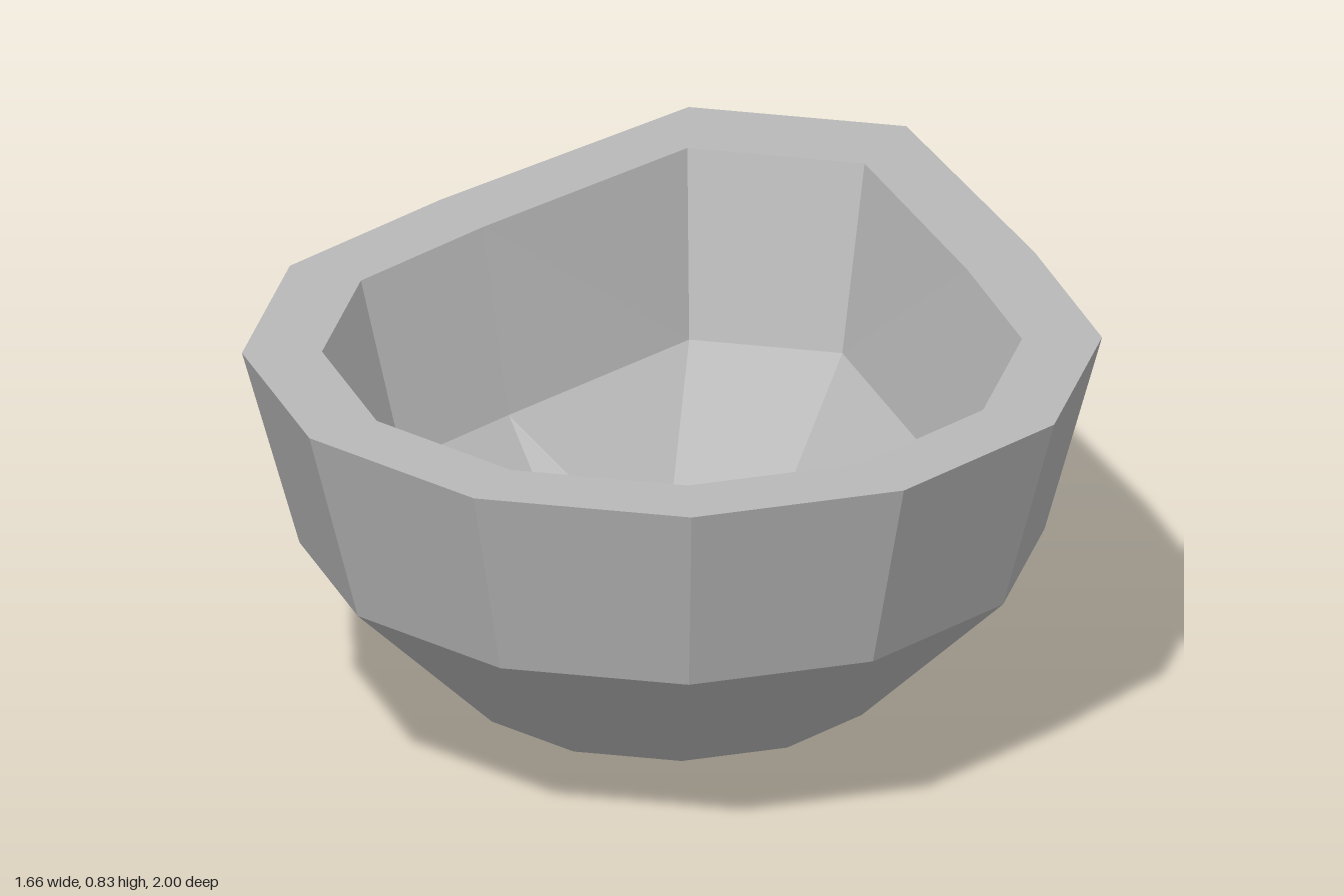
import * as THREE from 'three';

const SIDES = 12;
const CENTRE_Z = 0.167;

// Twelve-sided ring; its two rear corners can be pulled back to form the spout
function ring(radius, y, spoutZ) {
  return Array.from({ length: SIDES }, (_, i) => {
    const a = ((i + 0.5) / SIDES) * Math.PI * 2;
    const rear = i === 5 || i === 6;
    const z = rear && spoutZ !== undefined ? spoutZ : CENTRE_Z + radius * Math.cos(a);
    return [radius * Math.sin(a), y, z];
  });
}

// Flat-faced skin joining consecutive rings
function skin(name, rings, material) {
  const pos = [];
  for (let k = 0; k < rings.length - 1; k++) {
    for (let i = 0; i < SIDES; i++) {
      const j = (i + 1) % SIDES;
      const [a0, a1, b0, b1] = [rings[k][i], rings[k][j], rings[k + 1][i], rings[k + 1][j]];
      // mirror the diagonals so both halves match
      const tris = i < 6 ? [a0, a1, b1, a0, b1, b0] : [a0, a1, b0, a1, b1, b0];
      for (let t = 0; t < 6; t += 3) {
        const [p, q, r] = tris.slice(t, t + 3);
        const same = (u, v) => Math.hypot(u[0] - v[0], u[1] - v[1], u[2] - v[2]) < 1e-6;
        if (!same(p, q) && !same(q, r) && !same(r, p)) pos.push(...p, ...q, ...r);
      }
    }
  }
  const geometry = new THREE.BufferGeometry();
  geometry.setAttribute('position', new THREE.Float32BufferAttribute(pos, 3));
  geometry.computeVertexNormals();
  const mesh = new THREE.Mesh(geometry, material);
  mesh.name = name;
  return mesh;
}

export function createModel() {
  const stone = new THREE.MeshStandardMaterial({ color: 0xb8b8b8 });
  stone.name = 'stone grey';

  const outerRim = ring(0.86, 0.83, -1);
  const innerRim = ring(0.7, 0.83, -0.8);

  const bowl = new THREE.Group();
  bowl.name = 'spoutedBowl';
  bowl.add(
    // outside, from the pointed base up to the rim
    skin('outerShell', [ring(0, 0), ring(0.427, 0.11), ring(0.745, 0.415, -0.89), outerRim], stone),
    // flat top edge
    skin('rim', [outerRim, innerRim], stone),
    // hollow, from the rim down to the floor
    skin('innerShell', [innerRim, ring(0.605, 0.455, -0.705), ring(0.35, 0.185), ring(0, 0.09)], stone)
  );
  return bowl;
}
